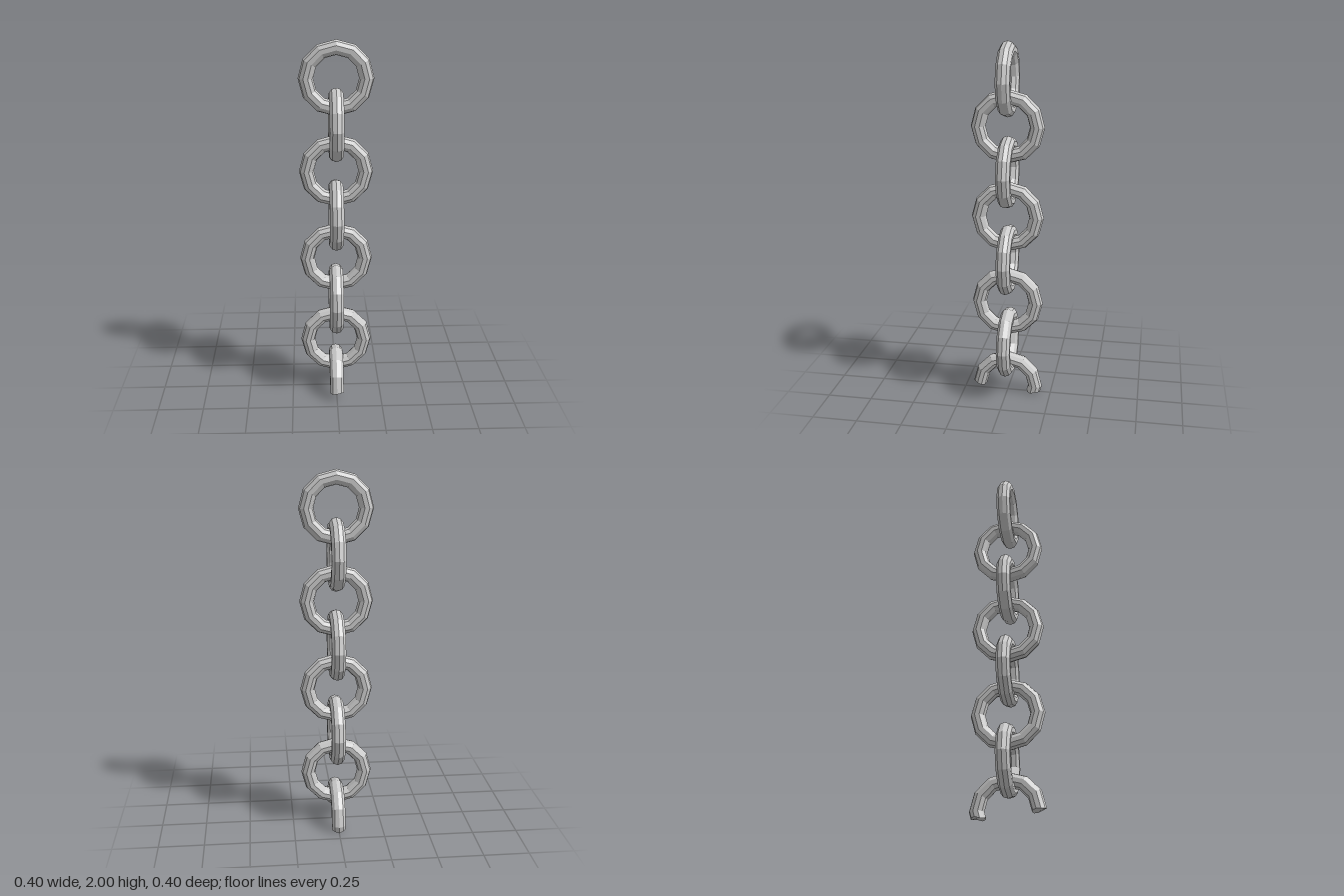
import * as THREE from 'three';

const RING = 0.16, TUBE = 0.04, SIDES = 10, STEPS = 12;

const metal = new THREE.MeshStandardMaterial({ color: 0xcccccc, flatShading: true });
const brokenMetal = metal.clone();
brokenMetal.side = THREE.DoubleSide;

// Fan of triangles closing a broken end, sunk a little at its middle
function endCap(points, sink) {
  const mid = new THREE.Vector3();
  points.forEach(p => mid.addScaledVector(p, 1 / points.length));
  mid.y += sink;
  const corners = [];
  points.forEach((p, i) => corners.push(mid, p, points[(i + 1) % points.length]));
  const geometry = new THREE.BufferGeometry().setFromPoints(corners);
  geometry.computeVertexNormals();
  return geometry;
}

// Upper half of a link, snapped off with one end longer than the other
function brokenLink() {
  const group = new THREE.Group();
  const count = 7;
  const geometry = new THREE.TorusGeometry(RING, TUBE, SIDES, count, Math.PI * 7 / 6);
  geometry.rotateZ(-Math.PI / 6);
  const pos = geometry.attributes.position;

  // Slide the points of one end along the tube to an uneven cut height
  function cutEnd(end, next, height) {
    const rim = [];
    for (let j = 0; j <= SIDES; j++) {
      const a = new THREE.Vector3().fromBufferAttribute(pos, j * (count + 1) + end);
      const b = new THREE.Vector3().fromBufferAttribute(pos, j * (count + 1) + next);
      const y = height(j / SIDES * Math.PI * 2);
      a.lerp(b, (y - a.y) / (b.y - a.y));
      pos.setXYZ(j * (count + 1) + end, a.x, a.y, a.z);
      if (j < SIDES) rim.push(a);
    }
    return rim;
  }
  const longRim = cutEnd(0, 1, a => -0.035 + 0.005 * Math.cos(3 * a + Math.PI));
  const shortRim = cutEnd(count, count - 1, a => -0.002 + 0.008 * Math.cos(a) + 0.004 * Math.sin(2 * a));
  geometry.computeVertexNormals();

  const add = (name, geo) => {
    const mesh = new THREE.Mesh(geo, brokenMetal);
    mesh.name = name;
    group.add(mesh);
  };
  add('brokenLinkArc', geometry);
  add('longBrokenEnd', endCap(longRim, 0.006));
  add('shortBrokenEnd', endCap(shortRim, -0.006));
  return group;
}

export function createModel() {
  const chain = new THREE.Group();
  chain.name = 'brokenChain';

  // Whole links, every second one turned a quarter
  const linkGeometry = new THREE.TorusGeometry(RING, TUBE, SIDES, STEPS);
  for (let i = 0; i < 7; i++) {
    const link = new THREE.Mesh(linkGeometry, metal);
    link.name = `link${i + 1}`;
    link.position.y = 1.8 - i * 0.2495;
    link.rotation.y = (i % 2) * Math.PI / 2;
    chain.add(link);
  }

  // Snapped link at the bottom
  const last = brokenLink();
  last.name = 'brokenLink';
  last.position.y = 0.04;
  last.rotation.y = Math.PI / 2;
  chain.add(last);
  return chain;
}
